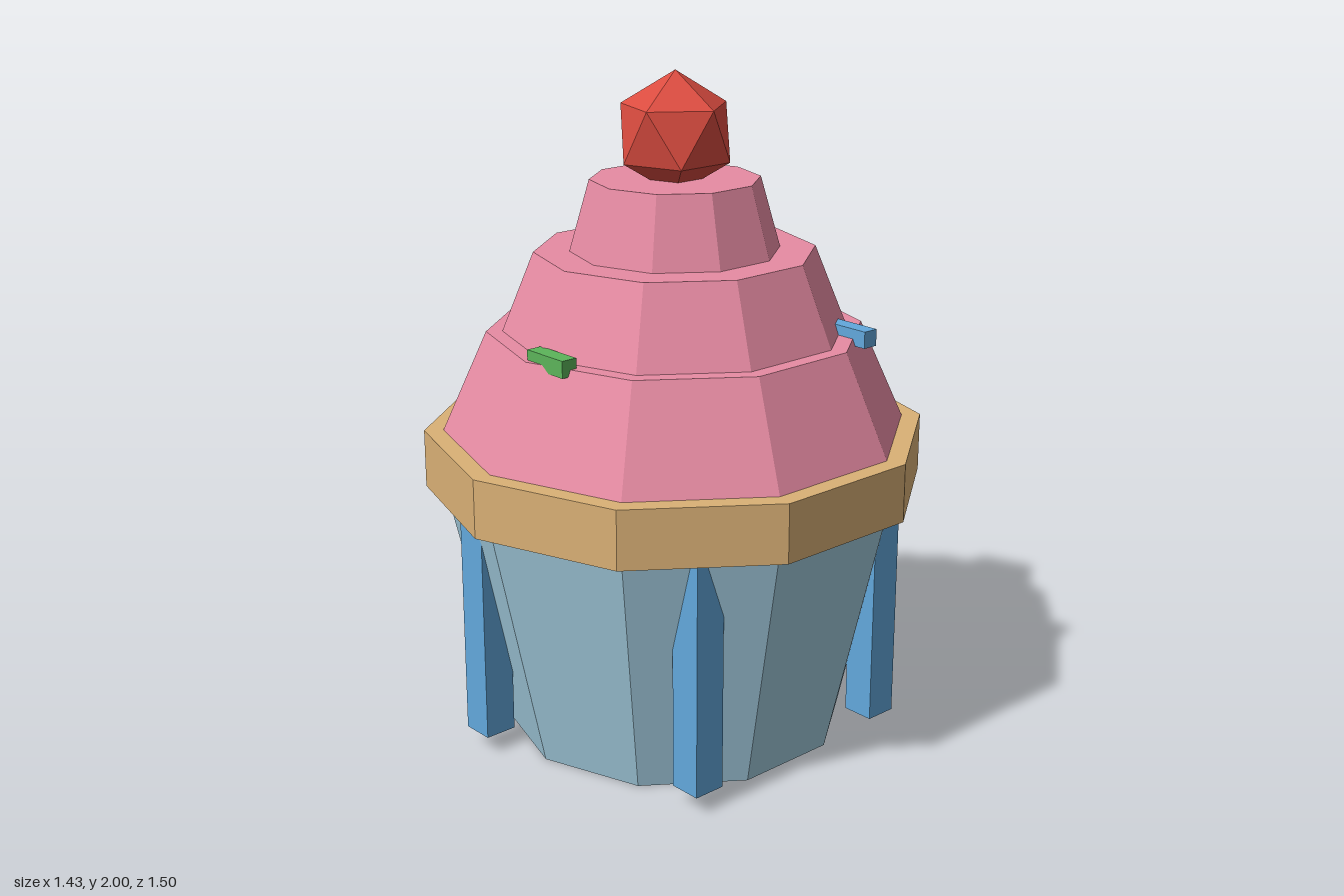
import * as THREE from 'three';

const paint = (name, color) => {
  const m = new THREE.MeshStandardMaterial({ color });
  m.name = name;
  return m;
};

export function createModel() {
  const group = new THREE.Group();
  const wrapperBlue = paint('wrapper pale blue', 0xa2cbde);
  const tan = paint('biscuit tan', 0xdab176);
  const pink = paint('frosting pink', 0xe88ca4);
  const blue = paint('stripe blue', 0x62a8dc);
  const green = paint('sprinkle green', 0x5cb45a);
  const red = paint('cherry red', 0xdb4c40);

  const add = (name, geometry, material, x, y, z) => {
    const mesh = new THREE.Mesh(geometry, material);
    mesh.name = name;
    mesh.position.set(x, y, z);
    group.add(mesh);
    return mesh;
  };

  // Ten-sided tapered tier between two heights, with flat facets
  const tier = (name, material, y0, y1, r0, r1) => {
    const geometry = new THREE.CylinderGeometry(r1, r0, y1 - y0, 10).toNonIndexed();
    geometry.computeVertexNormals();
    add(name, geometry, material, 0, (y0 + y1) / 2, 0);
  };

  tier('wrapper', wrapperBlue, 0, 0.78, 0.52, 0.698);
  tier('rim', tan, 0.77, 0.945, 0.75, 0.75);
  tier('frostingLower', pink, 0.94, 1.245, 0.695, 0.558);
  tier('frostingMiddle', pink, 1.24, 1.48, 0.512, 0.415);
  tier('frostingTop', pink, 1.475, 1.69, 0.311, 0.25);

  // Five upright strips around the wrapper
  for (let i = 0; i < 5; i++) {
    const a = Math.PI / 5 + (i * Math.PI * 2) / 5;
    add('wrapperStrip', new THREE.BoxGeometry(0.1, 0.705, 0.1), blue,
      Math.cos(a) * 0.61, 0.4075, Math.sin(a) * 0.61);
  }

  // Three sprinkles on the lower ledge of the frosting
  [green, tan, blue].forEach((material, i) => {
    const a = THREE.MathUtils.degToRad(83 + i * 120);
    add('sprinkle', new THREE.BoxGeometry(0.155, 0.05, 0.05), material,
      Math.cos(a) * 0.52, 1.25, Math.sin(a) * 0.52);
  });

  // Faceted cherry standing on one corner
  const cherry = add('cherry', new THREE.IcosahedronGeometry(0.18, 0), red, 0, 1.82, 0);
  cherry.rotation.z = -Math.atan(2 / (1 + Math.sqrt(5)));

  return group;
}
